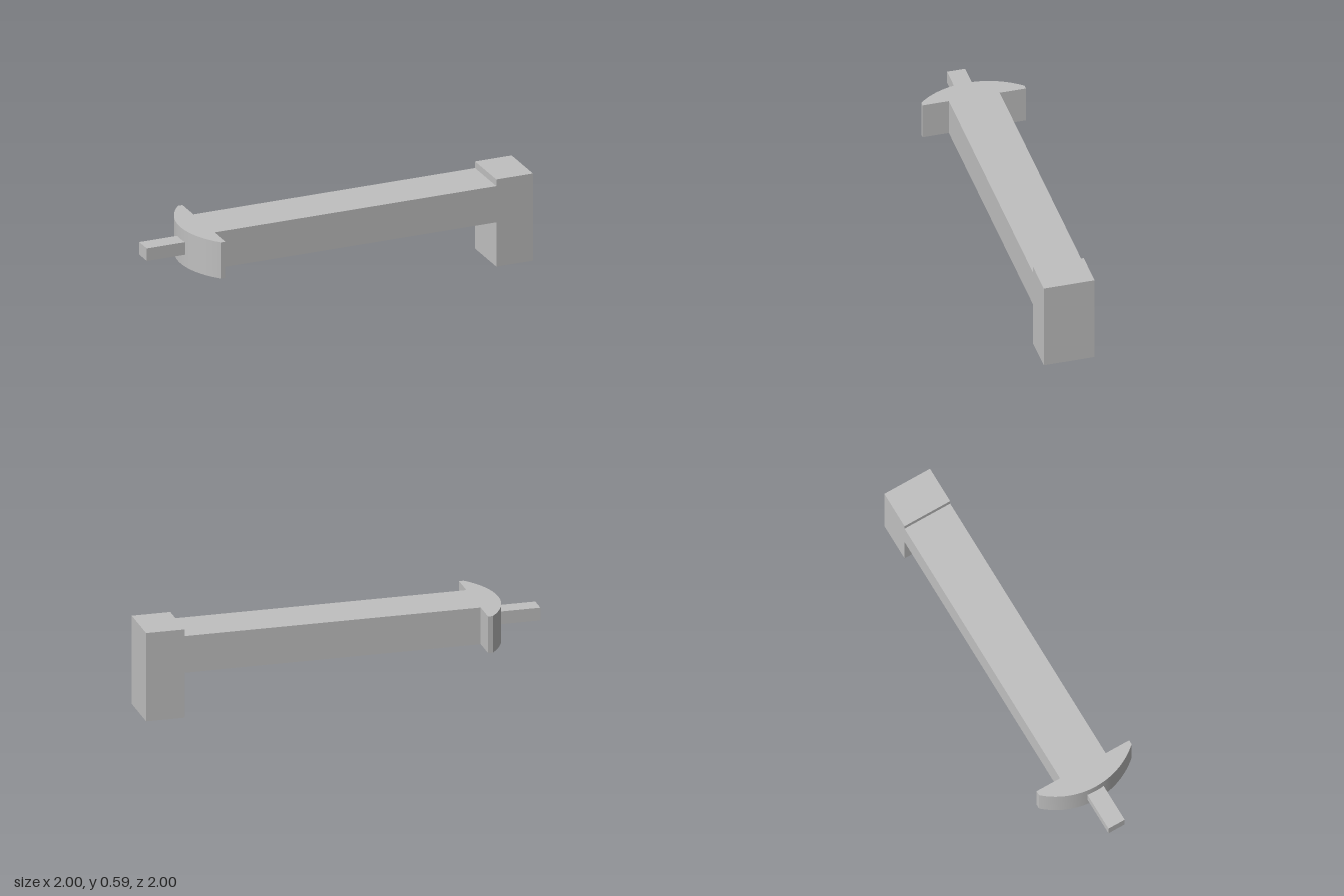
import * as THREE from 'three';
import { toCreasedNormals } from 'three/addons/utils/BufferGeometryUtils.js';

export function createModel() {
  const model = new THREE.Group();
  const grey = new THREE.MeshStandardMaterial({ color: 0xc0c0c0 });
  grey.name = 'grey';

  // Lengthwise axis of the part is local x; the whole part lies diagonally
  const part = new THREE.Group();
  part.name = 'diagonalLatch';
  part.rotation.y = Math.PI / 4;
  model.add(part);

  const addBox = (name, x0, x1, y0, y1, width) => {
    const mesh = new THREE.Mesh(new THREE.BoxGeometry(x1 - x0, y1 - y0, width), grey);
    mesh.name = name;
    mesh.position.set((x0 + x1) / 2, (y0 + y1) / 2, 0);
    part.add(mesh);
  };

  // Beam with rounded mushroom head, one extruded outline
  const half = 0.166, headHalf = 0.337, radius = 0.5, centre = -0.597, shoulder = -0.936;
  const angle = Math.asin(headHalf / radius);
  const outline = new THREE.Shape();
  outline.moveTo(0.997, -half);
  outline.lineTo(0.997, half);
  outline.lineTo(shoulder, half);
  outline.lineTo(shoulder, headHalf);
  outline.absarc(centre, 0, radius, Math.PI - angle, Math.PI + angle, false);
  outline.lineTo(shoulder, -headHalf);
  outline.lineTo(shoulder, -half);
  const geometry = new THREE.ExtrudeGeometry(outline, { depth: 0.245, bevelEnabled: false, curveSegments: 24 });
  geometry.rotateX(-Math.PI / 2);
  const beam = new THREE.Mesh(toCreasedNormals(geometry, 0.4), grey);
  beam.name = 'beamWithRoundedHead';
  beam.position.y = 0.3;
  part.add(beam);

  // Heel block at the back end and small pin at the front end
  addBox('heelBlock', 0.997, 1.248, 0, 0.59, half * 2);
  addBox('pin', -1.355, -1.05, 0.38, 0.465, 0.118);

  return model;
}
